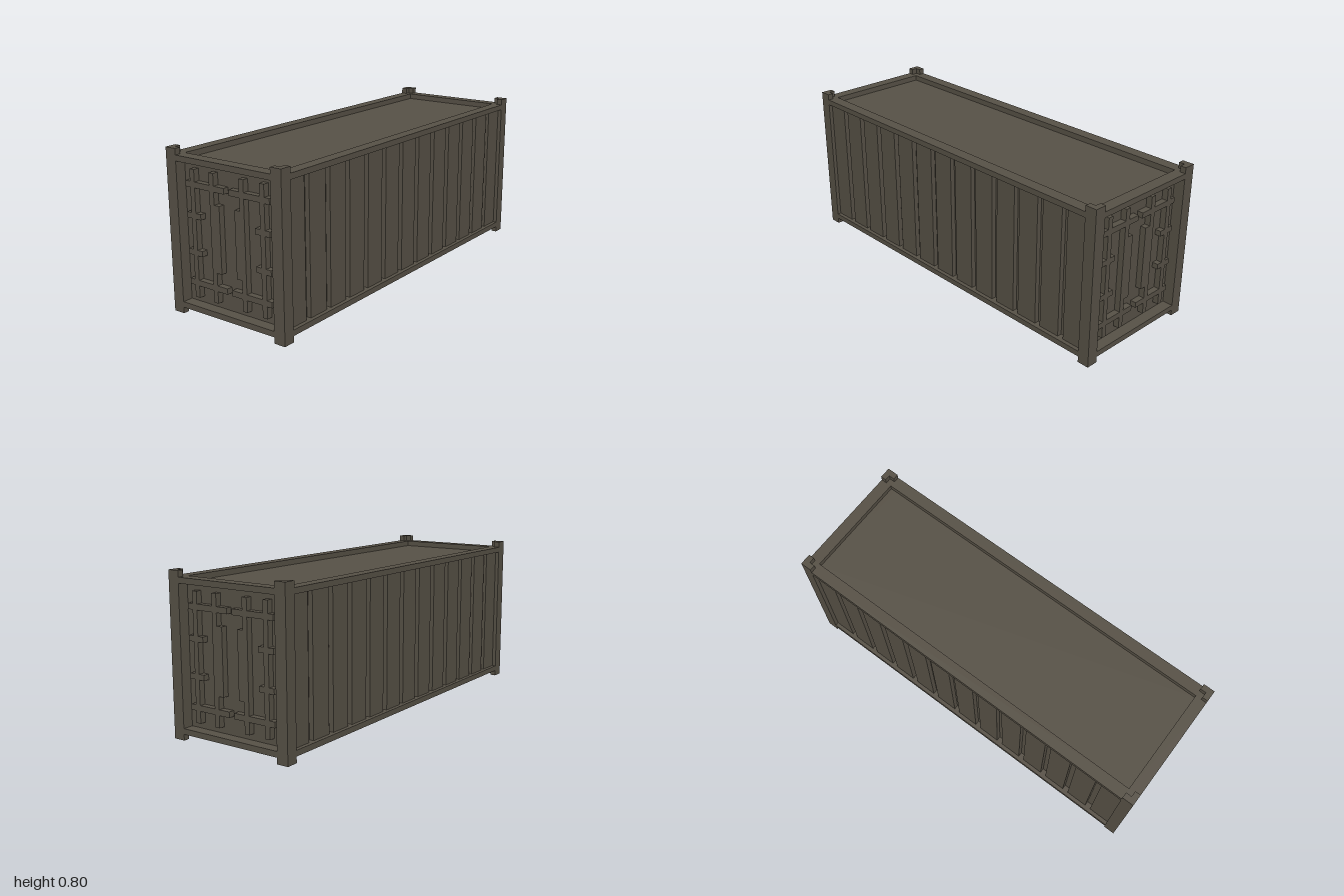
import * as THREE from 'three';

const paint = new THREE.MeshStandardMaterial({ color: 0x585247 });
paint.name = 'container paint';

// Overall sizes
const X = 1, Z = 0.34, T = 0.06, H = 0.795;      // half length, half width, frame thickness, height
const LOW = 0.03, HIGH = 0.765, RAIL = 0.028;    // frame bottom and top, rail height

function add(parent, name, geometry, x = 0, y = 0, z = 0) {
  const mesh = new THREE.Mesh(geometry, paint);
  mesh.name = name;
  mesh.position.set(x, y, z);
  parent.add(mesh);
  return mesh;
}

const box = (parent, name, w, h, d, x, y, z) =>
  add(parent, name, new THREE.BoxGeometry(w, h, d), x, y, z);

const extrude = (shape, depth) =>
  new THREE.ExtrudeGeometry(shape, { depth, bevelEnabled: false });

const toShape = (points) => new THREE.Shape(points.map(([a, b]) => new THREE.Vector2(a, b)));

// Corrugated side wall: wide raised panels with narrow vertical grooves
function wallGeometry() {
  const w = X - T, inner = 0.27, face = 0.32, groove = 0.296, pitch = 0.1474, half = 0.016;
  const pts = [[-w, -inner], [-w, -face]];
  for (let i = 0; i < 12; i++) {
    const c = (i - 5.5) * pitch;
    pts.push([c - half, -face], [c - half, -groove], [c + half, -groove], [c + half, -face]);
  }
  pts.push([w, -face], [w, -inner]);
  return extrude(toShape(pts), HIGH - LOW - 2 * RAIL).rotateX(-Math.PI / 2);
}

// Raised lock bars, hinges and handle plate of one door leaf, outlined as one piece
function lockGeometry() {
  const a = 0.25, b = 0.221, c = 0.194, d = 0.164, e = 0.103, f = 0.076, g = 0.046, h = 0.015;
  const rows = [[0.149, 0.177], [0.297, 0.324], [0.473, 0.5], [0.62, 0.648]];
  const bottom = 0.09, top = 0.706;
  const pts = [[c, bottom], [b, bottom]];
  for (const [y0, y1] of rows) pts.push([b, y0], [a, y0], [a, y1], [b, y1]);
  pts.push(
    [b, top], [c, top], [c, 0.648], [e, 0.648], [e, top], [f, top],
    [f, 0.648], [h, 0.648], [h, 0.62], [f, 0.62],
    [f, 0.56], [g, 0.56], [g, 0.238], [f, 0.238],
    [f, 0.177], [h, 0.177], [h, 0.149], [f, 0.149],
    [f, bottom], [e, bottom], [e, 0.149], [c, 0.149]);
  const shape = toShape(pts);
  // Opening between the two upright bars, with the hinge ends reaching in
  const hole = [[e, 0.177], [e, 0.62], [c, 0.62]];
  for (const [y0, y1] of [rows[2], rows[1]]) hole.push([c, y1], [d, y1], [d, y0], [c, y0]);
  hole.push([c, 0.177]);
  shape.holes.push(new THREE.Path(hole.map(([u, v]) => new THREE.Vector2(u, v))));
  return extrude(shape, 0.03);
}

// L-shaped corner fitting, open towards the middle of the container
function cornerGeometry(sx, sz) {
  const m = T / 2;
  const pts = [[X, Z], [X - T, Z], [X - T, Z - m], [X - m, Z - m], [X - m, Z - T], [X, Z - T]]
    .map(([x, z]) => [sx * x, -sz * z]);
  return extrude(toShape(pts), LOW).rotateX(-Math.PI / 2);
}

export function createModel() {
  const model = new THREE.Group();
  model.name = 'shippingContainer';
  const frame = new THREE.Group();
  frame.name = 'frame';
  model.add(frame);

  // Corner posts with fittings above and below
  for (const sx of [-1, 1]) for (const sz of [-1, 1]) {
    box(frame, 'cornerPost', T, HIGH - LOW, T, sx * (X - T / 2), (HIGH + LOW) / 2, sz * (Z - T / 2));
    const corner = cornerGeometry(sx, sz);
    add(frame, 'topCorner', corner, 0, H - LOW, 0);
    add(frame, 'bottomCorner', corner, 0, 0, 0);
  }

  // Rails along the top and bottom edges
  for (const y of [LOW + RAIL / 2, HIGH - RAIL / 2]) for (const s of [-1, 1]) {
    box(frame, 'sideRail', 2 * (X - T), RAIL, T, 0, y, s * (Z - T / 2));
    box(frame, 'endRail', T, RAIL, 2 * (Z - T), s * (X - T / 2), y, 0);
  }

  // Roof and floor, sunk level with the inner edge of the rails
  const sheet = 0.02;
  box(model, 'roof', 2 * (X - T), sheet, 2 * (Z - T), 0, HIGH - RAIL - sheet / 2, 0);
  box(model, 'floor', 2 * (X - T), sheet, 2 * (Z - T), 0, LOW + RAIL + sheet / 2, 0);

  // Long walls
  const wall = wallGeometry();
  for (const turn of [0, Math.PI]) {
    add(model, 'sideWall', wall, 0, LOW + RAIL, 0).rotation.y = turn;
  }

  // Doors at both ends
  const lock = lockGeometry();
  const mirrored = lock.clone().rotateY(Math.PI).translate(0, 0, 0.03);
  for (const turn of [1, -1]) {
    const end = new THREE.Group();
    end.name = 'doorEnd';
    end.rotation.y = turn * Math.PI / 2;
    box(end, 'doorPanel', 2 * (Z - T), HIGH - LOW - 2 * RAIL, 0.03, 0, (HIGH + LOW) / 2, 0.93);
    add(end, 'leftLockBars', lock, 0, 0, 0.945);
    add(end, 'rightLockBars', mirrored, 0, 0, 0.945);
    model.add(end);
  }
  return model;
}
